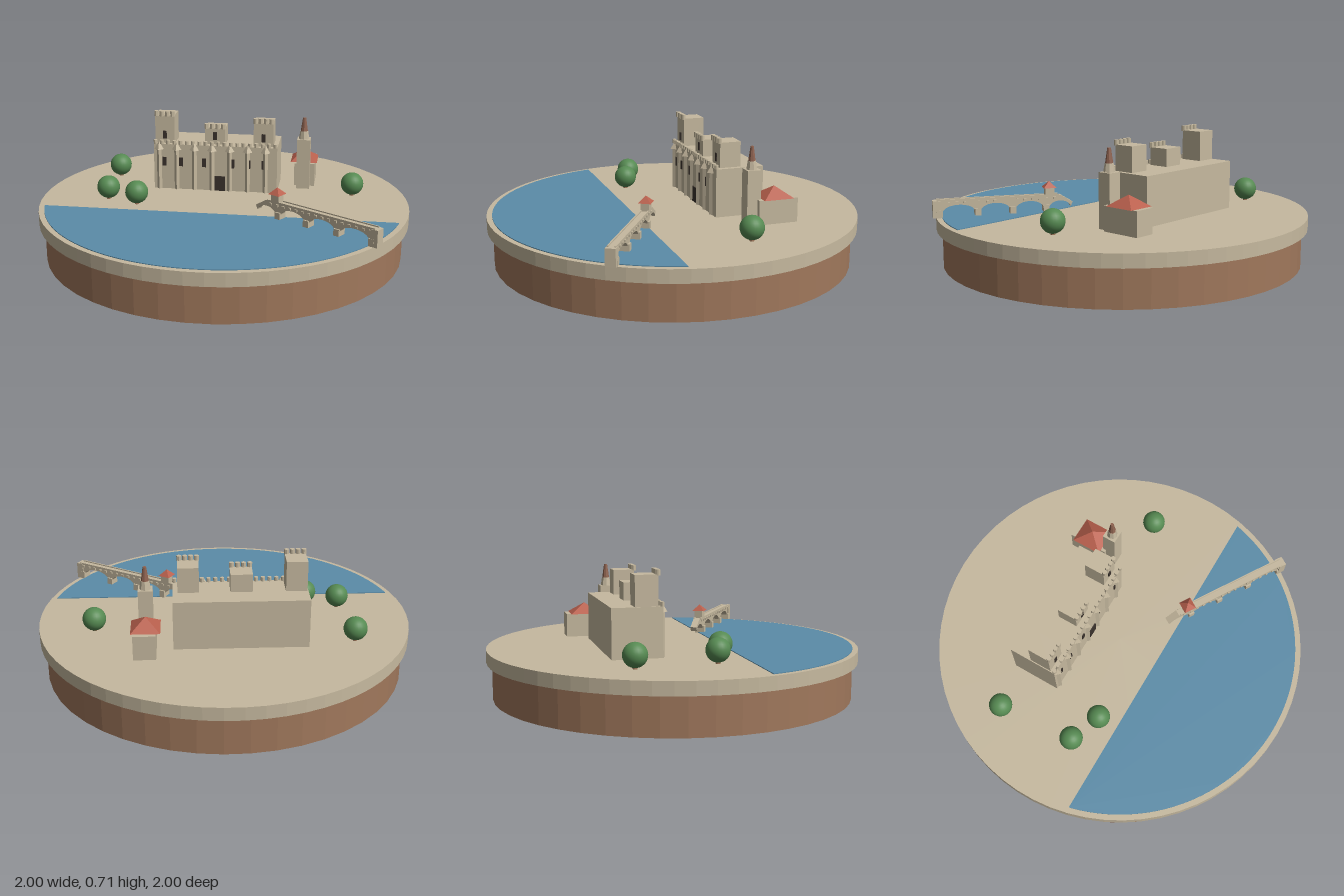
import * as THREE from 'three';

const mat = (name, color, flat = true) => {
  const m = new THREE.MeshStandardMaterial({ color, flatShading: flat });
  m.name = name;
  return m;
};

export function createModel() {
  const stone = mat('sandstone', 0xc6b99f);
  const earth = mat('earth', 0xa0785c);
  const water = mat('water', 0x5b8ca8);
  const tile = mat('roof tile', 0xb9604d);
  const spireMat = mat('spire brown', 0x8f6350);
  const dark = mat('dark opening', 0x3a322c);
  const leaf = mat('foliage', 0x568a52, false);

  const GROUND = 0.27;
  const model = new THREE.Group();
  model.name = 'islandTown';

  const add = (parent, name, geo, material, x = 0, y = 0, z = 0) => {
    const mesh = new THREE.Mesh(geo, material);
    mesh.name = name;
    mesh.position.set(x, y, z);
    parent.add(mesh);
    return mesh;
  };
  const group = (parent, name) => {
    const g = new THREE.Group();
    g.name = name;
    parent.add(g);
    return g;
  };
  // box given by its ranges on each axis
  const block = (parent, name, material, x0, x1, y0, y1, z0, z1) =>
    add(parent, name, new THREE.BoxGeometry(x1 - x0, y1 - y0, z1 - z0), material,
      (x0 + x1) / 2, (y0 + y1) / 2, (z0 + z1) / 2);
  const pyramid = (parent, name, x, y, z, w, h, d) => {
    const geo = new THREE.ConeGeometry(Math.SQRT1_2, 1, 4).rotateY(Math.PI / 4).scale(w, h, d);
    return add(parent, name, geo, tile, x, y + h / 2, z);
  };
  const merlons = (parent, x0, x1, y, z, count, r, h) => {
    const geo = new THREE.CylinderGeometry(r, r, h, 8);
    for (let i = 0; i < count; i++) {
      add(parent, 'merlon', geo, stone, x0 + ((x1 - x0) * i) / (count - 1), y + h / 2, z);
    }
  };

  // Round base
  add(model, 'earthBase', new THREE.CylinderGeometry(0.97, 0.97, 0.2, 48), earth, 0, 0.1, 0);
  add(model, 'groundDisc', new THREE.CylinderGeometry(1, 1, 0.07, 64), stone, 0, 0.235, 0);

  // Everything in town follows the river bank, turned 20 degrees
  const town = group(model, 'town');
  town.rotation.y = -Math.PI / 9;

  // River: a circle segment beyond the bank
  const bank = Math.asin(0.24 / 0.97);
  const river = new THREE.Shape();
  river.absarc(0, 0, 0.97, Math.PI + bank, 2 * Math.PI - bank, false);
  river.closePath();
  const riverGeo = new THREE.ExtrudeGeometry(river, { depth: 0.004, bevelEnabled: false, curveSegments: 48 });
  add(town, 'river', riverGeo.rotateX(-Math.PI / 2), water, 0, GROUND, 0);

  // Palace block with battlements
  const palace = group(town, 'palace');
  const FRONT = -0.15;
  block(palace, 'palaceBody', stone, -0.42, 0.275, GROUND, 0.53, -0.415, FRONT);
  merlons(palace, -0.41, 0.265, 0.53, FRONT - 0.004, 20, 0.011, 0.022);

  // Buttresses with pointed caps
  const shaft = new THREE.CylinderGeometry(0.014, 0.014, 0.23, 4);
  const cap = new THREE.ConeGeometry(0.027, 0.045, 4);
  for (let i = 0; i < 7; i++) {
    const x = -0.39 + i * 0.1;
    add(palace, 'buttress', shaft, stone, x, GROUND + 0.115, FRONT);
    add(palace, 'buttressCap', cap, stone, x, 0.5225, FRONT);
  }

  // Windows and gate as thin plates
  for (const x of [-0.36, -0.265, -0.135, 0.025, 0.115, 0.2]) {
    block(palace, 'window', dark, x - 0.011, x + 0.011, 0.405, 0.455, FRONT - 0.002, FRONT + 0.004);
  }
  block(palace, 'gate', dark, -0.075, -0.015, GROUND, 0.355, FRONT - 0.002, FRONT + 0.005);

  // Three towers: left edge, right edge, top, front
  for (const [x0, x1, top, front] of [
    [-0.415, -0.305, 0.69, -0.175], [-0.135, -0.02, 0.625, -0.185], [0.14, 0.25, 0.665, -0.18]]) {
    const tower = group(palace, 'tower');
    const mid = (x0 + x1) / 2;
    block(tower, 'towerBody', stone, x0, x1, 0.5, top, -0.295, front);
    block(tower, 'towerWindow', dark, mid - 0.01, mid + 0.01, 0.555, 0.6, front - 0.002, front + 0.004);
    merlons(tower, x0 + 0.01, x1 - 0.01, top - 0.005, front, 4, 0.013, 0.029);
  }

  // Chapel with bell tower
  const chapel = group(town, 'chapel');
  block(chapel, 'chapelBody', stone, 0.36, 0.475, GROUND, 0.4, -0.525, -0.31);
  pyramid(chapel, 'chapelRoof', 0.412, 0.4, -0.417, 0.15, 0.058, 0.165);
  block(chapel, 'bellTower', stone, 0.376, 0.45, GROUND, 0.555, -0.327, -0.253);
  add(chapel, 'belfry', new THREE.CylinderGeometry(0.022, 0.029, 0.045, 8), stone, 0.413, 0.5775, -0.289);
  add(chapel, 'spire', new THREE.CylinderGeometry(0.009, 0.02, 0.075, 8), spireMat, 0.413, 0.6375, -0.289);

  // Broken bridge: x runs from the rim towards the bank
  const bridge = group(model, 'brokenBridge');
  bridge.position.set(0.57, GROUND, 0.8);
  bridge.rotation.y = THREE.MathUtils.degToRad(127.9);
  const piers = [0, 0.2, 0.385, 0.565];
  const side = new THREE.Shape();
  side.moveTo(-0.02, 0.09);
  side.lineTo(-0.02, 0);
  piers.forEach((p, i) => {
    const a = p + 0.015;
    side.lineTo(p - 0.015, 0);
    side.lineTo(a, 0);
    if (i < 3) {
      const b = piers[i + 1] - 0.015;
      side.absellipse((a + b) / 2, 0.025, (b - a) / 2, 0.04, Math.PI, 0, true);
    } else {
      side.absellipse(a + 0.06, 0.02, 0.06, 0.04, Math.PI, 0.05 * Math.PI, true);
    }
  });
  side.lineTo(0.71, 0.05);
  side.lineTo(0.645, 0.09);
  side.closePath();
  const deck = new THREE.ExtrudeGeometry(side, { depth: 0.036, bevelEnabled: false, curveSegments: 10 });
  add(bridge, 'archedDeck', deck, stone, 0, 0, -0.018);
  for (const p of piers) {
    block(bridge, 'pier', stone, p - 0.016, p + 0.016, 0, 0.04, -0.027, 0.027);
  }
  for (const s of [-1, 1]) {
    add(bridge, 'parapet', new THREE.BoxGeometry(0.65, 0.012, 0.007), stone, 0.31, 0.09, s * 0.0185);
    // Corbels under the parapet
    for (let i = 0; i < 16; i++) {
      add(bridge, 'corbel', new THREE.BoxGeometry(0.014, 0.012, 0.008), stone, 0.01 + i * 0.04, 0.076, s * 0.021);
    }
  }
  block(bridge, 'bridgeEnd', stone, -0.035, 0.005, 0, 0.09, -0.026, 0.026);
  block(bridge, 'bridgeChapel', stone, 0.56, 0.61, 0.085, 0.135, -0.022, 0.022);
  pyramid(bridge, 'bridgeChapelRoof', 0.585, 0.132, 0, 0.068, 0.035, 0.068);

  // Round trees
  const crown = new THREE.SphereGeometry(0.062, 24, 16);
  const trunk = new THREE.CylinderGeometry(0.012, 0.012, 0.05, 8);
  for (const [x, z] of [[-0.505, -0.555], [-0.615, -0.15], [-0.475, -0.03], [0.71, 0.07]]) {
    const tree = group(model, 'tree');
    tree.position.set(x, GROUND, z);
    add(tree, 'treeTrunk', trunk, earth, 0, 0.025, 0);
    add(tree, 'treeCrown', crown, leaf, 0, 0.068, 0);
  }

  return model;
}
